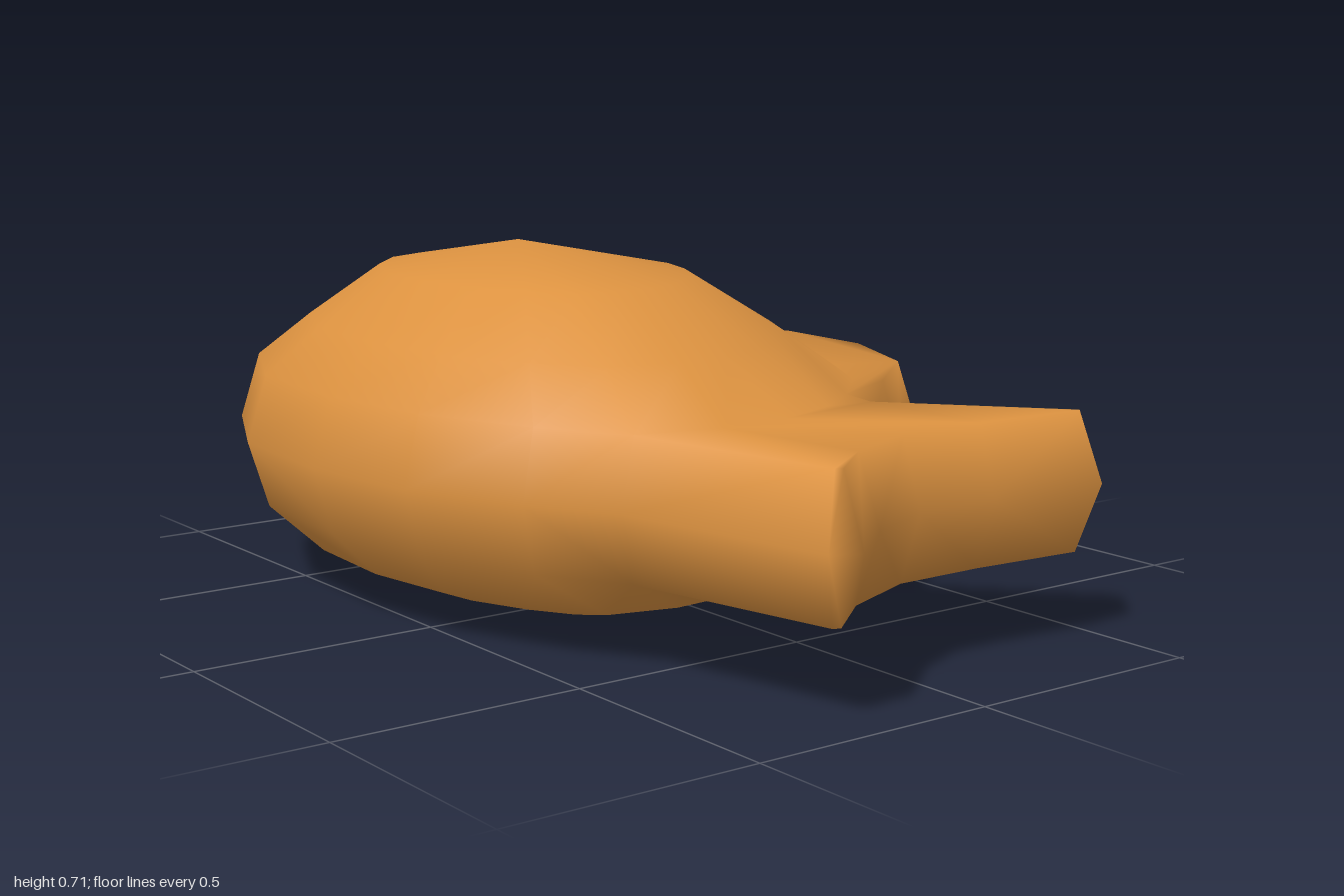
import * as THREE from 'three';

// Fish outline seen from above as [x, z], starting at the nose and passing the dorsal fin first
const OUTLINE = [
  [-1, 0.14], [-0.94, -0.06], [-0.82, -0.26], [-0.64, -0.38], [-0.46, -0.47],
  [-0.31, -0.675], [-0.04, -0.675], [0.21, -0.57], [0.38, -0.37], [0.45, -0.22],
  [0.5, -0.21], [0.8, -0.47], [0.85, -0.44], [0.83, -0.18], [0.83, 0],
  [0.89, 0.15], [0.995, 0.28], [0.97, 0.335], [0.53, 0.43], [0.37, 0.53],
  [0.13, 0.63], [-0.14, 0.67], [-0.45, 0.65], [-0.73, 0.52], [-0.92, 0.34],
];
// Edge of the domed body where it meets the fin and the tail
const FIN_BASE = [[-0.29, -0.46], [-0.05, -0.46], [0.14, -0.4], [0.3, -0.31]];
const TAIL_BASE = [[0.5, -0.07], [0.55, 0.07], [0.56, 0.22]];
const CENTRE = [-0.18, 0.17];
const MID_Y = 0.31;

// Move each outline point inward along its averaged normal
function inset(points, distance) {
  const n = points.length;
  return points.map(([x, z], i) => {
    const normal = (a, b) => new THREE.Vector2(-(b[1] - a[1]), b[0] - a[0]).normalize();
    const n1 = normal(points[(i + n - 1) % n], points[i]);
    const n2 = normal(points[i], points[(i + 1) % n]);
    const dir = n1.clone().add(n2).normalize();
    const d = distance * Math.min(1.4, 1 / dir.dot(n1));
    return [x + dir.x * d, z + dir.y * d];
  });
}

export function createModel() {
  const group = new THREE.Group();
  const crust = new THREE.MeshStandardMaterial({ color: 0xdc9240 });
  crust.name = 'golden crust';

  const positions = [];
  const parts = { body: [], dorsalFin: [], tail: [] };
  const add = ([x, z], y) => positions.push(x, y, z) / 3 - 1;
  const at = (i) => [positions[i * 3], positions[i * 3 + 2]];

  const count = OUTLINE.length;
  const rim = OUTLINE.map((p) => add(p, MID_Y));
  const inner = inset(OUTLINE, 0.04);

  // Upper and lower halves share the widest ring
  const halves = [
    { up: true, edgeY: 0.445, rings: [[0.79, 0.54], [0.52, 0.65]], tipY: 0.715 },
    { up: false, edgeY: 0.175, rings: [[0.79, 0.08], [0.52, 0.03]], tipY: 0 },
  ];
  for (const { up, edgeY, rings, tipY } of halves) {
    const tri = (part, a, b, c) => part.push(a, ...(up ? [b, c] : [c, b]));
    const strip = (part, o1, o2, i1, i2) => {
      tri(part, o2, o1, i1);
      tri(part, o2, i1, i2);
    };
    const edge = inner.map((p) => add(p, edgeY));
    const finBase = FIN_BASE.map((p) => add(p, edgeY));
    const tailBase = TAIL_BASE.map((p) => add(p, edgeY));

    // Bevelled rim
    for (let i = 0; i < count; i++) {
      const part = i >= 4 && i < 9 ? parts.dorsalFin : i >= 9 && i < 18 ? parts.tail : parts.body;
      const j = (i + 1) % count;
      strip(part, rim[i], rim[j], edge[i], edge[j]);
    }

    // Flat faces of the fin and the tail
    const flat = (part, loop) => {
      const pts = loop.map((i) => new THREE.Vector2(...at(i)));
      for (const [a, b, c] of THREE.ShapeUtils.triangulateShape(pts, [])) {
        const cross = pts[b].clone().sub(pts[a]).cross(pts[c].clone().sub(pts[a]));
        if (cross < 0) tri(part, loop[a], loop[b], loop[c]);
        else tri(part, loop[a], loop[c], loop[b]);
      }
    };
    flat(parts.dorsalFin, [...edge.slice(4, 10), ...finBase.slice().reverse()]);
    flat(parts.tail, [...edge.slice(9, 19), ...tailBase.slice().reverse()]);

    // Domed body
    let ring = [...edge.slice(0, 5), ...finBase, edge[9], ...tailBase, ...edge.slice(18)];
    const base = ring.map(at);
    for (const [s, y] of rings) {
      const next = base.map(([x, z]) =>
        add([CENTRE[0] + (x - CENTRE[0]) * s, CENTRE[1] + (z - CENTRE[1]) * s], y));
      ring.forEach((o, i) => {
        const j = (i + 1) % ring.length;
        strip(parts.body, o, ring[j], next[i], next[j]);
      });
      ring = next;
    }
    const tip = add(CENTRE, tipY);
    ring.forEach((o, i) => tri(parts.body, ring[(i + 1) % ring.length], o, tip));
  }

  // Normals are shared so that the parts blend smoothly
  const whole = new THREE.BufferGeometry();
  whole.setAttribute('position', new THREE.Float32BufferAttribute(positions, 3));
  whole.setIndex(Object.values(parts).flat());
  whole.computeVertexNormals();

  for (const [name, index] of Object.entries(parts)) {
    const geometry = new THREE.BufferGeometry();
    geometry.setAttribute('position', whole.getAttribute('position'));
    geometry.setAttribute('normal', whole.getAttribute('normal'));
    geometry.setIndex(index);
    const mesh = new THREE.Mesh(geometry, crust);
    mesh.name = name;
    group.add(mesh);
  }
  return group;
}
